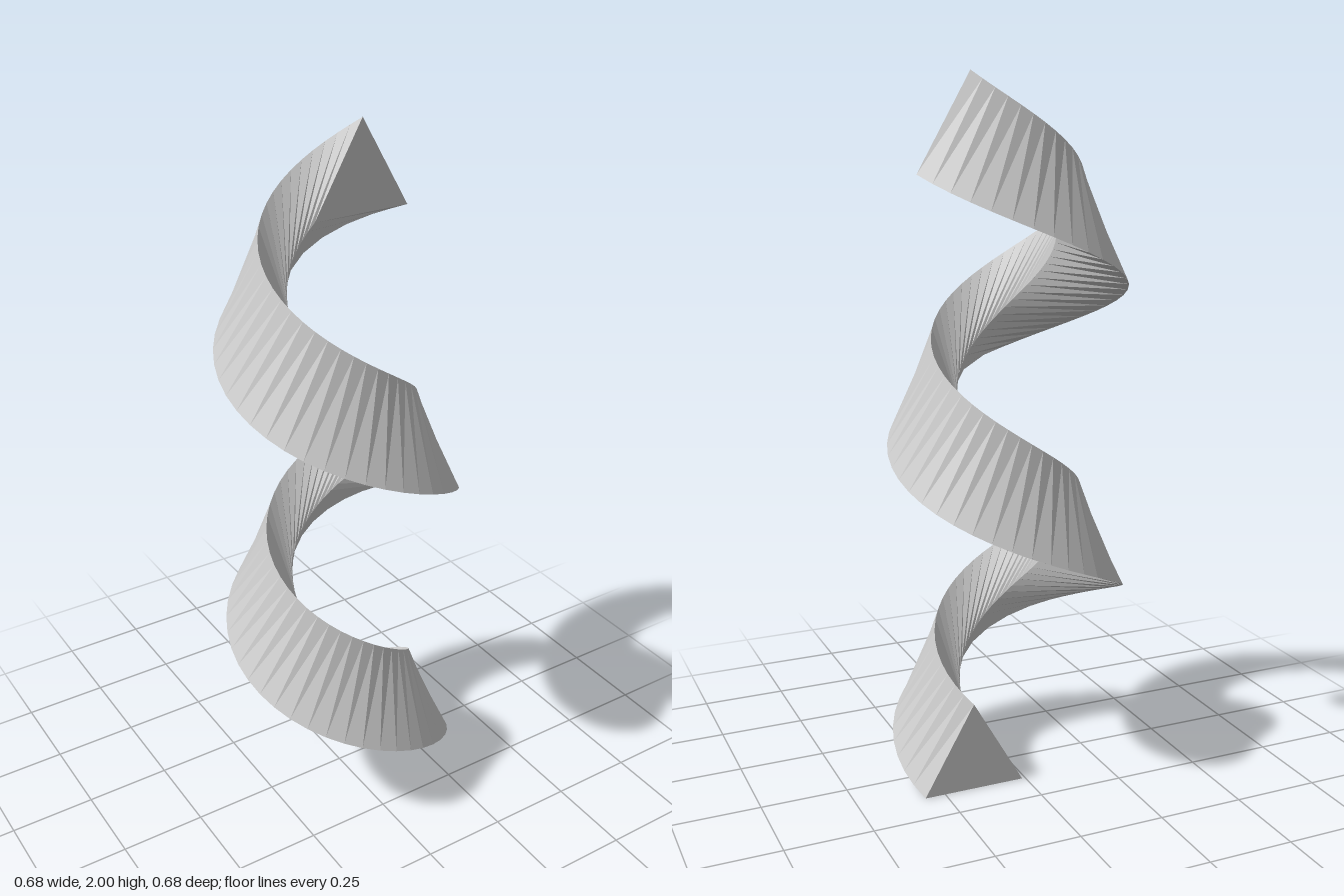
import * as THREE from 'three';

// Triangular bar swept along a two-turn helix
export function createModel() {
  const turns = 2, perTurn = 40, rise = 1.74, planeZ = -0.138;
  const section = [[0.01, 0], [0.31, 0], [0.16, 0.26]]; // inner, outer, apex (x, y)
  const steps = turns * perTurn;

  // Corner c of the section after step i
  const corner = (i, c) => {
    const a = (i / perTurn) * Math.PI * 2;
    const [x, y] = section[c];
    return new THREE.Vector3(
      x * Math.cos(a) - planeZ * Math.sin(a),
      y + (rise * i) / steps,
      x * Math.sin(a) + planeZ * Math.cos(a)
    );
  };

  const points = [];
  // Three twisted side strips, each quad split along its shorter diagonal
  for (let i = 0; i < steps; i++) {
    for (let c = 0; c < 3; c++) {
      const n = (c + 1) % 3;
      const a = corner(i, c), b = corner(i, n);
      const a2 = corner(i + 1, c), b2 = corner(i + 1, n);
      if (a.distanceTo(b2) < b.distanceTo(a2)) points.push(a, b, b2, a, b2, a2);
      else points.push(a, b, a2, b, b2, a2);
    }
  }
  // Flat end caps
  points.push(corner(0, 0), corner(0, 2), corner(0, 1));
  points.push(corner(steps, 0), corner(steps, 1), corner(steps, 2));

  const geometry = new THREE.BufferGeometry().setFromPoints(points);
  geometry.computeVertexNormals();

  const helix = new THREE.Mesh(
    geometry,
    new THREE.MeshStandardMaterial({ color: 0xcccccc, flatShading: true })
  );
  helix.name = 'helicalBar';

  const group = new THREE.Group();
  group.name = 'triangularHelix';
  group.add(helix);
  return group;
}
